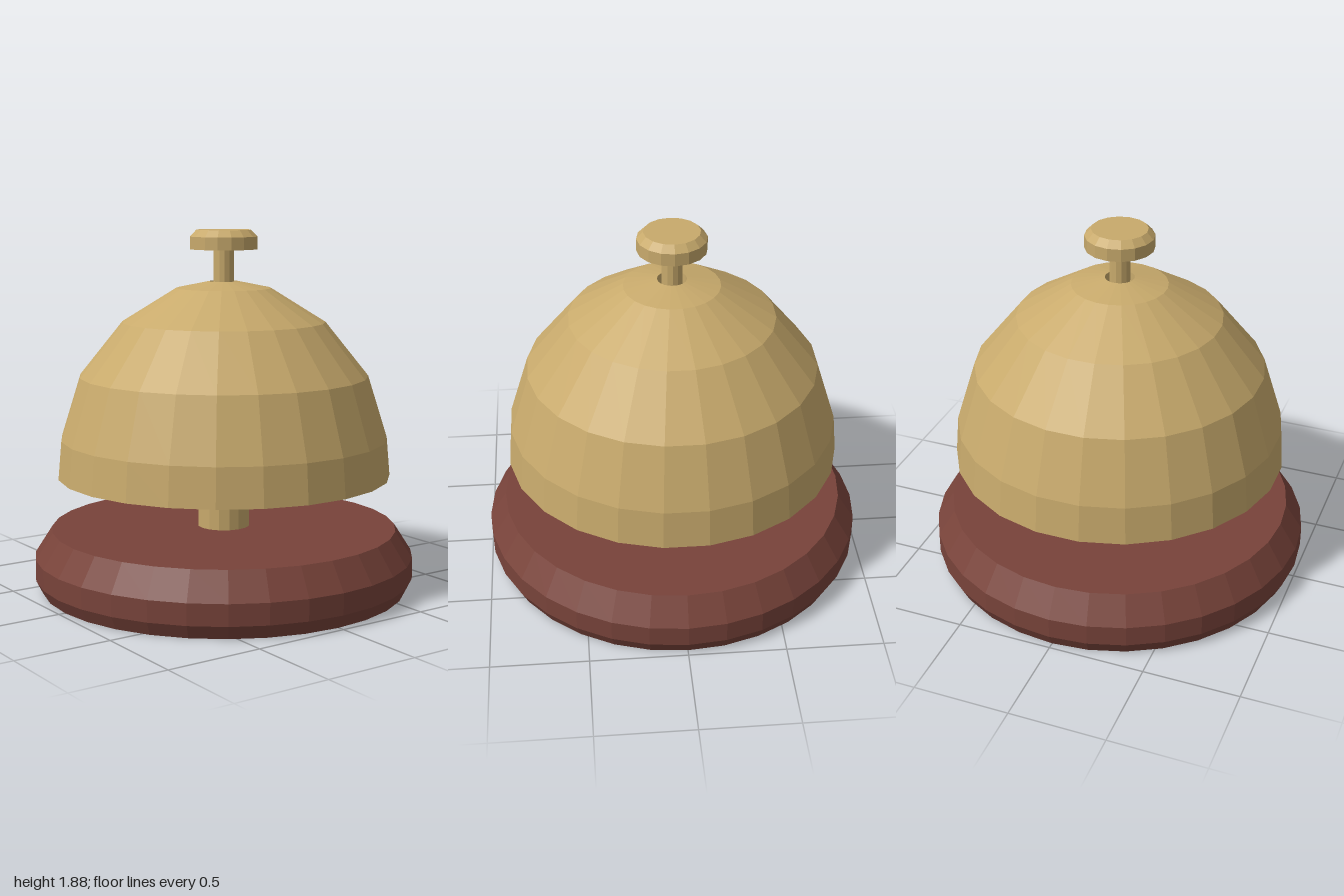
import * as THREE from 'three';

const brass = new THREE.MeshStandardMaterial({ color: 0xc8aa6c, flatShading: true });
const wood = new THREE.MeshStandardMaterial({ color: 0x78433a, flatShading: true });

// Turned part: profile of [radius, height], listed from the bottom up along the outside
function turned(name, profile, sides, material, start = 0) {
  const points = profile.map(([r, y]) => new THREE.Vector2(r, y));
  const mesh = new THREE.Mesh(new THREE.LatheGeometry(points, sides, start), material);
  mesh.name = name;
  return mesh;
}

// Straight round rod between two heights
function rod(name, radius, y0, y1, sides) {
  const mesh = new THREE.Mesh(new THREE.CylinderGeometry(radius, radius, y1 - y0, sides), brass);
  mesh.position.y = (y0 + y1) / 2;
  mesh.name = name;
  return mesh;
}

export function createModel() {
  const bell = new THREE.Group();
  bell.name = 'deskBell';

  // Wooden base with a bevelled top and bottom edge
  bell.add(turned('base', [
    [0, 0], [0.965, 0], [1, 0.07], [1, 0.18], [0.91, 0.32], [0, 0.32],
  ], 32, wood));

  // Post holding up the dome
  bell.add(rod('post', 0.137, 0.31, 1.54, 16));

  // Hollow dome with a thick rim and a hole for the plunger
  bell.add(turned('dome', [
    [0.875, 0.6], [0.857, 0.8], [0.755, 1.125], [0.53, 1.405], [0.247, 1.58], [0.075, 1.615],
    [0.075, 1.555], [0.23, 1.52], [0.49, 1.355], [0.697, 1.1], [0.793, 0.79], [0.81, 0.6],
    [0.875, 0.6],
  ], 24, brass, Math.PI / 24));

  // Plunger and its button
  bell.add(rod('plunger', 0.053, 1.5, 1.79, 12));
  bell.add(turned('button', [
    [0, 1.78], [0.177, 1.78], [0.177, 1.845], [0.143, 1.88], [0, 1.88],
  ], 16, brass));

  return bell;
}
